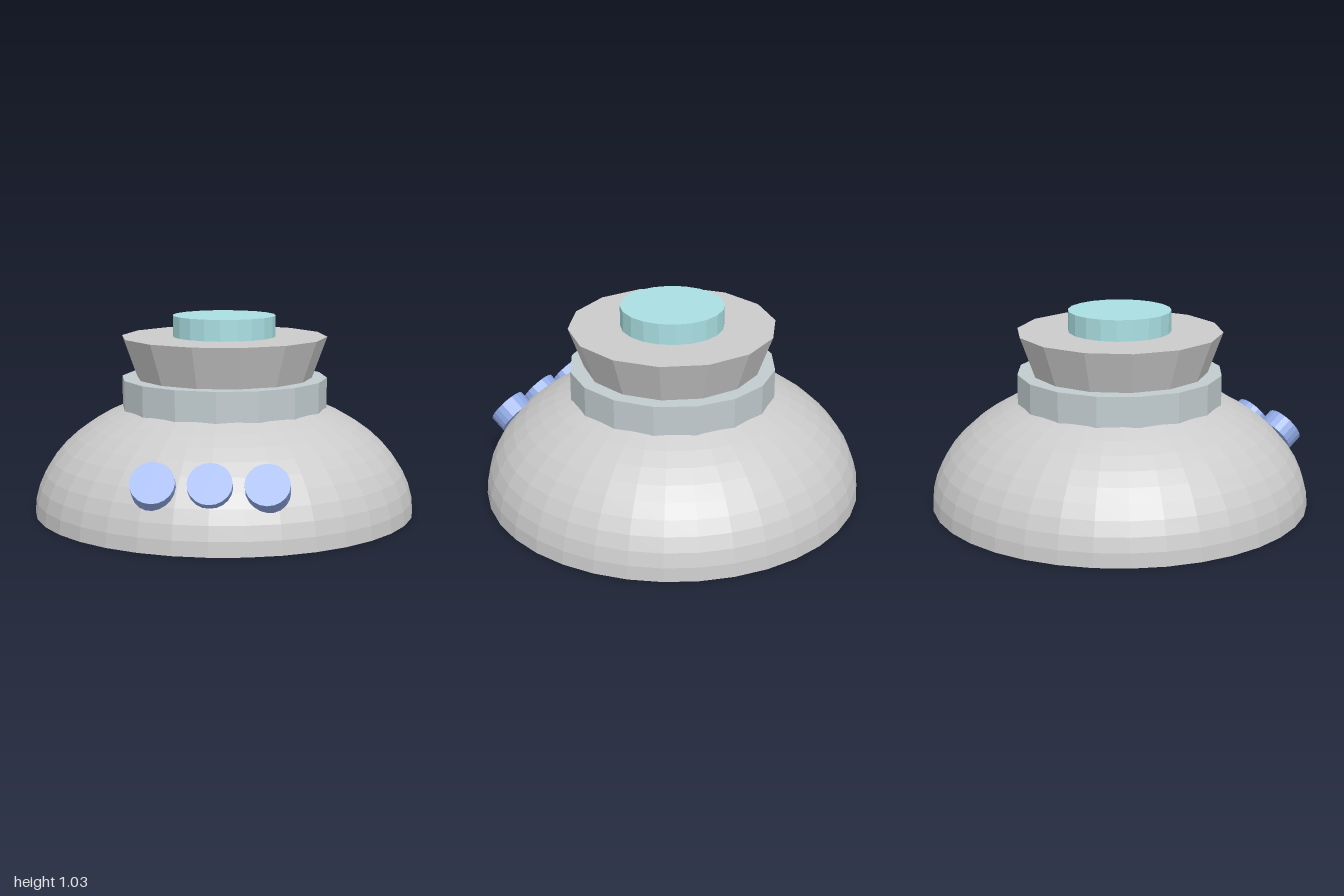
import * as THREE from 'three';

const material = (color) => new THREE.MeshStandardMaterial({ color, flatShading: true });

export function createModel() {
  const model = new THREE.Group();
  const grey = material(0xcccccc);
  const paleGrey = material(0xc2cccf);
  const teal = material(0xaadfe2);
  const blue = material(0x91aae6);

  const add = (name, geometry, mat) => {
    const mesh = new THREE.Mesh(geometry, mat);
    mesh.name = name;
    model.add(mesh);
    return mesh;
  };

  // Upright cylinder or cone between two heights
  const drum = (name, rTop, rBottom, y0, y1, sides, mat, turn = 0) => {
    const mesh = add(name, new THREE.CylinderGeometry(rTop, rBottom, y1 - y0, sides), mat);
    mesh.position.y = (y0 + y1) / 2;
    mesh.rotation.y = turn;
    return mesh;
  };

  // Flattened half-sphere body, closed underneath
  const dome = new THREE.SphereGeometry(1, 36, 14, 0, Math.PI * 2, 0, Math.PI / 2);
  dome.scale(1, 0.65, 1);
  add('domeBody', dome, grey);
  const base = new THREE.CircleGeometry(1, 36);
  base.rotateX(Math.PI / 2);
  add('baseDisc', base, grey);

  // Stacked collar, flared head and top cap
  drum('collarRing', 0.54, 0.54, 0.54, 0.705, 16, paleGrey);
  drum('flaredHead', 0.54, 0.46, 0.7, 0.92, 14, grey, Math.PI / 2);
  drum('topCap', 0.27, 0.27, 0.915, 1.03, 20, teal);

  // Row of buttons tilted to lie along the front of the dome
  for (const x of [-0.27, 0, 0.27]) {
    const button = add('button', new THREE.CylinderGeometry(0.108, 0.108, 0.09, 20), blue);
    button.position.set(x, 0.303, 0.873);
    button.rotation.x = 0.93;
  }

  return model;
}
